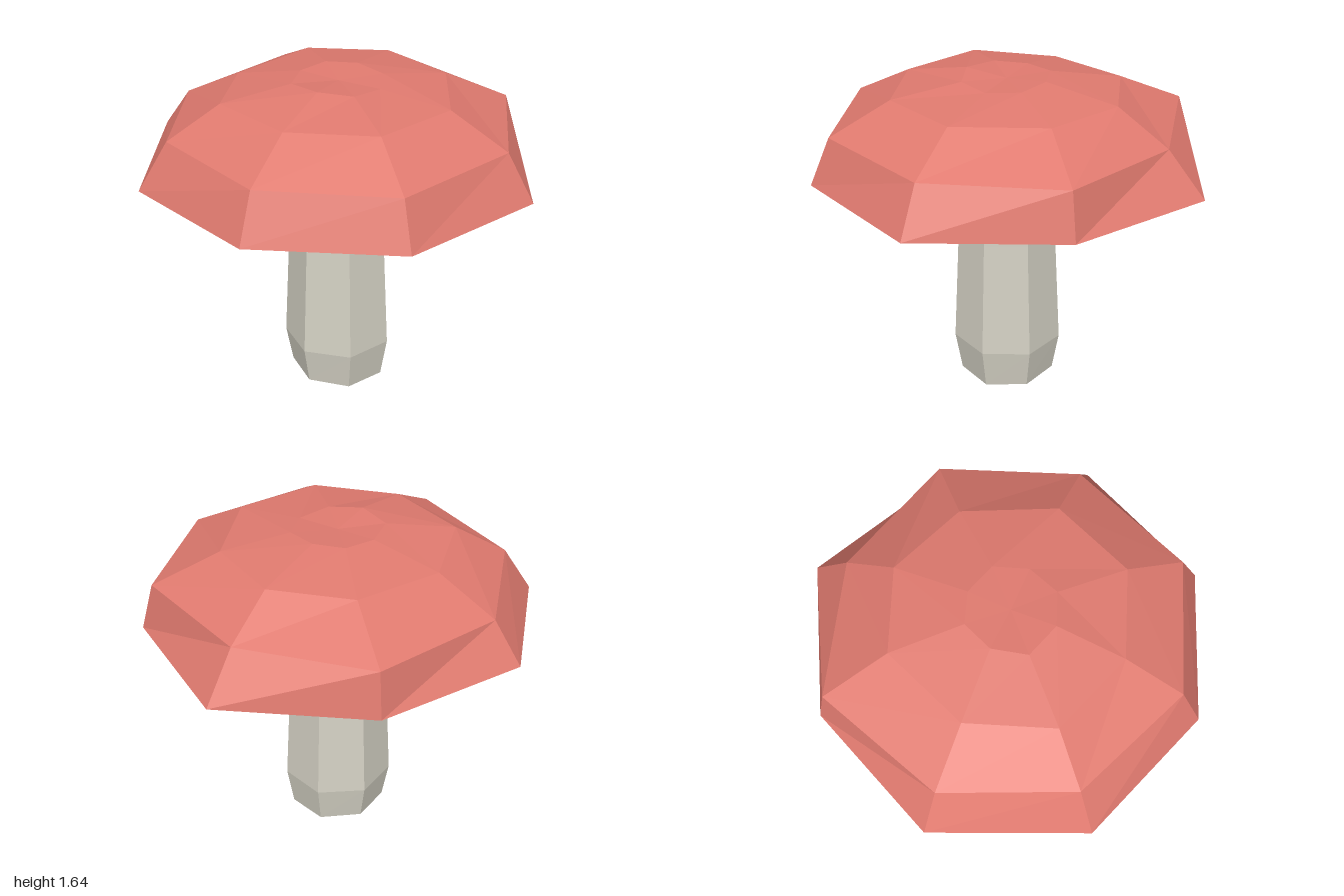
import * as THREE from 'three';

const capRed = new THREE.MeshStandardMaterial({ color: 0xe07a6f, flatShading: true });
capRed.name = 'capRed';
const stemCream = new THREE.MeshStandardMaterial({ color: 0xd4d1c4, flatShading: true });
stemCream.name = 'stemCream';

// Skins a stack of rings (lowest first), with optional end points to close it.
function loft(rings, { bottom, top } = {}) {
  const out = [];
  const n = rings[0].length;
  const tri = (...points) => points.forEach((p) => out.push(...p));
  for (let i = 0; i < n; i++) {
    const j = (i + 1) % n;
    for (let r = 0; r < rings.length - 1; r++) {
      const a = rings[r], b = rings[r + 1];
      tri(a[i], b[i], a[j]);
      tri(a[j], b[i], b[j]);
    }
    const last = rings[rings.length - 1];
    if (bottom) tri(bottom, rings[0][i], rings[0][j]);
    if (top) tri(top, last[j], last[i]);
  }
  const geometry = new THREE.BufferGeometry();
  geometry.setAttribute('position', new THREE.Float32BufferAttribute(out, 3));
  geometry.computeVertexNormals();
  return geometry;
}

function addPart(group, name, geometry, material) {
  const mesh = new THREE.Mesh(geometry, material);
  mesh.name = name;
  group.add(mesh);
}

export function createModel() {
  const model = new THREE.Group();
  model.name = 'mushroom';

  // Cap: uneven eight-sided rings, each running left, front, right, back
  const rim = [
    [1, 1.19, 0.03], [0.69, 1.19, 0.72], [0, 1.19, 0.99], [-0.7, 1.19, 0.73],
    [-1, 1.21, 0.03], [-0.68, 1.195, -0.65], [0, 1.19, -1], [0.67, 1.19, -0.65],
  ];
  const shoulder = [
    [0.865, 1.42, 0.03], [0.62, 1.42, 0.65], [0, 1.425, 0.88], [-0.6, 1.42, 0.62],
    [-0.855, 1.41, 0.03], [-0.65, 1.42, -0.62], [0, 1.41, -0.81], [0.625, 1.42, -0.61],
  ];
  const crown = [
    [0.575, 1.575, 0.03], [0.41, 1.575, 0.435], [0, 1.575, 0.585], [-0.415, 1.575, 0.435],
    [-0.555, 1.56, 0.03], [-0.39, 1.575, -0.4], [0, 1.575, -0.55], [0.38, 1.575, -0.39],
  ];
  const peak = [
    [0.22, 1.615, 0.03], [0.16, 1.625, 0.19], [0, 1.64, 0.25], [-0.17, 1.63, 0.19],
    [-0.21, 1.63, 0.02], [-0.15, 1.635, -0.13], [0, 1.635, -0.18], [0.16, 1.625, -0.13],
  ];
  addPart(model, 'cap', loft([rim, shoulder, crown, peak], { top: [0, 1.62, 0.03] }), capRed);

  // Underside of the cap, slightly hollow towards the stem
  addPart(model, 'capUnderside', loft([rim], { bottom: [0, 1.24, 0.03] }), stemCream);

  // Stem: seven-sided, swollen near the foot, with a slightly slanted base
  const stemRing = (y, radius, slant = 0) =>
    Array.from({ length: 7 }, (_, i) => {
      const angle = (i / 7) * Math.PI * 2;
      const x = radius * Math.cos(angle);
      return [x, y - slant * x, 0.03 + radius * Math.sin(angle)];
    });
  const stemRings = [
    stemRing(0.01, 0.245, 0.04), stemRing(0.21, 0.28), stemRing(0.82, 0.25), stemRing(1.26, 0.237),
  ];
  addPart(model, 'stem', loft(stemRings, { bottom: [0, 0.015, 0.03] }), stemCream);

  return model;
}
